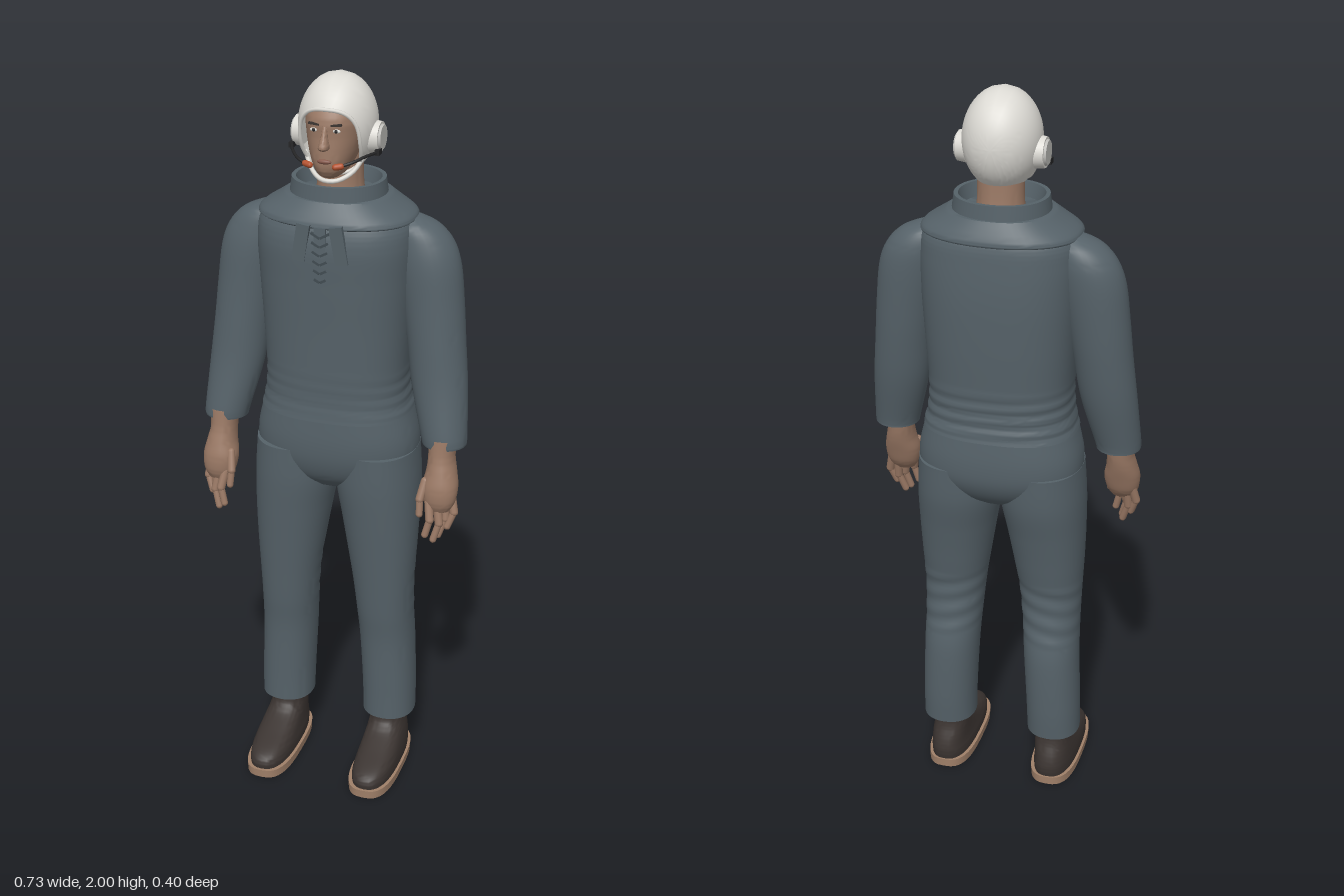
import * as THREE from 'three';
import { mergeGeometries, toCreasedNormals } from 'three/addons/utils/BufferGeometryUtils.js';

const mat = (name, color, side = THREE.FrontSide) => {
  const m = new THREE.MeshStandardMaterial({ color, side });
  m.name = name;
  return m;
};

// Smooth body from horizontal sections [y, xMin, xMax, zMin, zMax], listed from bottom to top.
function loft(sections, { n = 2, steps = 5, seg = 40, caps = true, fold = null } = {}) {
  const rows = [];
  const last = sections.length - 1;
  const cr = (a, b, c, d, t) => 0.5 * (2 * b + (c - a) * t + (2 * a - 5 * b + 4 * c - d) * t * t + (3 * b - a - 3 * c + d) * t ** 3);
  for (let i = 0; i < last; i++) {
    const [a, b, c, d] = [i - 1, i, i + 1, i + 2].map(k => sections[Math.min(last, Math.max(0, k))]);
    for (let s = 0; s < steps; s++) rows.push(b.map((_, k) => cr(a[k], b[k], c[k], d[k], s / steps)));
  }
  rows.push(sections[last]);
  const pos = [], idx = [];
  for (const [y, x0, x1, z0, z1] of rows) {
    for (let j = 0; j < seg; j++) {
      const a = (j / seg) * Math.PI * 2, c = Math.cos(a), s = Math.sin(a);
      const f = 1 + (fold ? fold(y, c, s) : 0);
      pos.push((x0 + x1) / 2 + (x1 - x0) / 2 * f * Math.sign(c) * Math.abs(c) ** (2 / n), y,
        (z0 + z1) / 2 + (z1 - z0) / 2 * f * Math.sign(s) * Math.abs(s) ** (2 / n));
    }
  }
  for (let i = 0; i < rows.length - 1; i++) {
    for (let j = 0; j < seg; j++) {
      const p = i * seg + j, q = i * seg + (j + 1) % seg;
      idx.push(p, p + seg, q, q, p + seg, q + seg);
    }
  }
  if (caps) {
    for (const r of [0, rows.length - 1]) {
      const [y, x0, x1, z0, z1] = rows[r], c = pos.length / 3;
      pos.push((x0 + x1) / 2, y, (z0 + z1) / 2);
      for (let j = 0; j < seg; j++) {
        const p = r * seg + j, q = r * seg + (j + 1) % seg;
        r === 0 ? idx.push(c, p, q) : idx.push(c, q, p);
      }
    }
  }
  return indexed(pos, idx);
}

function indexed(pos, idx) {
  const g = new THREE.BufferGeometry();
  g.setAttribute('position', new THREE.Float32BufferAttribute(pos, 3));
  g.setIndex(idx);
  return toCreasedNormals(g, 0.75);
}

const vec = p => new THREE.Vector3(...p);
const tube = (pts, r) => new THREE.TubeGeometry(new THREE.CatmullRomCurve3(pts.map(vec)), 20, r, 8);
const box = (w, h, d, p, rz = 0, rx = 0) => new THREE.BoxGeometry(w, h, d).rotateZ(rz).rotateX(rx).translate(...p);
const ball = (rx, ry, rz, p) => new THREE.SphereGeometry(1, 16, 10).scale(rx, ry, rz).translate(...p);

// Rounded rod between two points
function rod(a, b, r) {
  const A = vec(a), B = vec(b), d = B.clone().sub(A);
  const q = new THREE.Quaternion().setFromUnitVectors(new THREE.Vector3(0, 1, 0), d.clone().normalize());
  const mid = A.add(B).multiplyScalar(0.5);
  return new THREE.CapsuleGeometry(r, d.length(), 4, 10).applyQuaternion(q).translate(mid.x, mid.y, mid.z);
}

// Mirror across x = 0, turning the triangles around
function mirrored(geo) {
  const g = geo.index ? geo.toNonIndexed() : geo.clone();
  for (const k of Object.keys(g.attributes)) {
    const a = g.attributes[k].array, w = g.attributes[k].itemSize;
    for (let t = 0; t < a.length; t += 3 * w) {
      for (let c = 0; c < w; c++) [a[t + w + c], a[t + 2 * w + c]] = [a[t + 2 * w + c], a[t + w + c]];
    }
    if (w === 3) for (let i = 0; i < a.length; i += 3) a[i] *= -1;
  }
  return g;
}

// Helmet shell: swept from the edge of the face opening round to the back
const C = [0, 1.87, -0.04], R = [0.1, 0.13, 0.115];
function helmet() {
  const seg = 56, rings = 22, pos = [], idx = [], edge = [];
  for (let j = 0; j <= seg; j++) {
    const a = (j / seg) * Math.PI * 2, c = Math.cos(a), s = Math.sin(a), e = 2 / 2.6;
    const dx = 0.078 * Math.sign(c) * Math.abs(c) ** e / R[0];
    const dy = (1.84 + 0.088 * Math.sign(s) * Math.abs(s) ** e - C[1]) / R[1];
    const rad = Math.min(0.99, Math.hypot(dx, dy)), start = Math.asin(rad), ang = Math.atan2(dy, dx);
    for (let i = 0; i <= rings; i++) {
      const t = start + (Math.PI - start) * i / rings;
      const p = [Math.sin(t) * Math.cos(ang), Math.sin(t) * Math.sin(ang), Math.cos(t)].map((v, k) => C[k] + R[k] * v);
      pos.push(...p);
      if (i === 0 && j < seg) edge.push(vec(p));
      if (i < rings && j < seg) {
        const q = j * (rings + 1) + i, r = q + rings + 1;
        idx.push(q, q + 1, r, r, q + 1, r + 1);
      }
    }
  }
  const rim = new THREE.TubeGeometry(new THREE.CatmullRomCurve3(edge, true), 80, 0.005, 8, true);
  return { shell: indexed(pos, idx), rim };
}

export function createModel() {
  const model = new THREE.Group();
  const suit = mat('suit grey blue', 0x566269), fold = mat('dark suit trim', 0x414b51);
  const skin = mat('skin', 0x9a7965), sole = mat('sole tan', 0xa08069), shoe = mat('shoe brown', 0x3b3431);
  const white = mat('helmet white', 0xdcdad4, THREE.DoubleSide), black = mat('black', 0x252526);
  const orange = mat('microphone orange', 0xb4522f), lips = mat('lips', 0x84574a), grey = mat('cup grey', 0xc2c1bd);
  const add = (name, geo, m, parent = model) => {
    const mesh = new THREE.Mesh(geo, m);
    mesh.name = name;
    parent.add(mesh);
  };
  const pair = (name, geo, m) => {
    add(name + 'Left', geo, m);
    add(name + 'Right', mirrored(geo), m);
  };
  const sym = (y, x, z0, z1) => [y, -x, x, z0, z1];

  // Jacket with soft folds above the waist
  add('jacket', loft([
    sym(1.1, 0.206, -0.198, 0.1), sym(1.15, 0.194, -0.19, 0.096), sym(1.22, 0.19, -0.19, 0.098),
    sym(1.35, 0.197, -0.198, 0.102), sym(1.48, 0.205, -0.202, 0.108), sym(1.58, 0.208, -0.198, 0.111),
    sym(1.64, 0.195, -0.19, 0.098), sym(1.68, 0.14, -0.165, 0.07)
  ], { n: 2.5, steps: 10, seg: 56, fold: (y, c, s) => y > 1.11 && y < 1.24 ? 0.014 * Math.sin(y * 180 + 1.5 * c) * (0.6 - 0.4 * s) : 0 }), suit);

  // Wide collar with an open standing neck
  add('collarCape', loft([
    sym(1.63, 0.19, -0.18, 0.092), sym(1.638, 0.207, -0.194, 0.106), sym(1.652, 0.2, -0.192, 0.102),
    sym(1.675, 0.165, -0.18, 0.088), sym(1.695, 0.135, -0.168, 0.074)
  ], { n: 2.3, steps: 3, seg: 56 }), suit);
  add('standingCollar', loft([
    sym(1.68, 0.128, -0.163, 0.07), sym(1.732, 0.121, -0.158, 0.066), sym(1.732, 0.11, -0.147, 0.055), sym(1.695, 0.1, -0.137, 0.045)
  ], { n: 2.1, steps: 1, seg: 48 }), suit);

  // Neck tabs and lacing
  pair('collarTab', box(0.034, 0.1, 0.012, [0.05, 1.598, 0.108], 0.16, 0.04), suit);
  const laces = [];
  for (let i = 0; i < 6; i++) {
    for (const s of [-1, 1]) laces.push(box(0.026 - i * 0.002, 0.006, 0.007, [s * (0.012 - i * 0.0008), 1.62 - i * 0.024, 0.109], s * 0.5));
  }
  add('lacing', mergeGeometries(laces), fold);
  add('placket', box(0.03, 0.08, 0.008, [0, 1.6, 0.107], 0, -0.02), suit);

  // Sleeves
  pair('sleeve', loft([
    [1.045, 0.248, 0.366, -0.064, 0.055], [1.07, 0.242, 0.366, -0.068, 0.054], [1.2, 0.208, 0.357, -0.098, 0.036],
    [1.32, 0.19, 0.345, -0.115, 0.028], [1.42, 0.172, 0.336, -0.124, 0.023], [1.52, 0.15, 0.324, -0.13, 0.02],
    [1.58, 0.14, 0.302, -0.128, 0.012], [1.62, 0.14, 0.265, -0.115, 0], [1.643, 0.15, 0.215, -0.09, -0.025]
  ], { seg: 32 }), suit);

  // Hips and trouser legs, creased behind the knee
  add('hips', loft([
    sym(0.885, 0.09, -0.12, 0.035), sym(0.92, 0.17, -0.165, 0.07), sym(0.97, 0.215, -0.192, 0.09),
    sym(1.03, 0.22, -0.198, 0.097), sym(1.105, 0.203, -0.192, 0.095)
  ], { n: 2.4, seg: 56 }), suit);
  pair('trouserLeg', loft([
    [0.155, 0.08, 0.227, -0.131, 0.026], [0.25, 0.077, 0.226, -0.138, 0.028], [0.4, 0.069, 0.221, -0.14, 0.034],
    [0.5, 0.062, 0.219, -0.128, 0.046], [0.6, 0.052, 0.221, -0.123, 0.056], [0.7, 0.036, 0.226, -0.138, 0.066],
    [0.8, 0.019, 0.229, -0.157, 0.076], [0.9, 0.002, 0.229, -0.178, 0.085], [1.0, 0.004, 0.222, -0.185, 0.088]
  ], { n: 2.2, steps: 9, fold: (y, c, s) => y > 0.46 && y < 0.64 ? 0.02 * Math.sin(y * 110 + 2 * c) * Math.max(0, 0.3 - s) : 0 }), suit);

  // Shoes
  pair('shoeSole', loft([[0, 0.087, 0.219, -0.134, 0.2], [0.024, 0.086, 0.22, -0.135, 0.201]], { n: 2.9, steps: 1 }), sole);
  pair('shoeUpper', loft([
    [0.022, 0.094, 0.213, -0.13, 0.193], [0.045, 0.094, 0.213, -0.134, 0.193], [0.065, 0.097, 0.211, -0.132, 0.165],
    [0.09, 0.1, 0.206, -0.124, 0.09], [0.115, 0.102, 0.2, -0.113, 0.03], [0.14, 0.104, 0.196, -0.107, 0.01],
    [0.18, 0.104, 0.196, -0.107, 0.006]
  ], { n: 2.6 }), shoe);

  // Hands
  pair('palm', loft([
    [0.875, 0.282, 0.34, 0.03, 0.075], [0.9, 0.268, 0.354, 0.01, 0.085], [0.94, 0.262, 0.358, -0.005, 0.085],
    [0.98, 0.27, 0.35, -0.018, 0.074], [1.02, 0.272, 0.342, -0.026, 0.062], [1.07, 0.268, 0.346, -0.03, 0.055]
  ], { n: 2.2, seg: 24 }), skin);
  const fingers = [
    [[0.34, 0.91, 0.03], [0.35, 0.865, 0.04], [0.335, 0.825, 0.05]],
    [[0.325, 0.9, 0.035], [0.328, 0.845, 0.045], [0.312, 0.798, 0.055]],
    [[0.308, 0.9, 0.06], [0.318, 0.842, 0.072], [0.305, 0.796, 0.08]],
    [[0.288, 0.9, 0.07], [0.296, 0.855, 0.085], [0.285, 0.812, 0.09]],
    [[0.274, 0.955, 0.06], [0.266, 0.91, 0.08], [0.268, 0.87, 0.088]]
  ];
  pair('fingers', mergeGeometries(fingers.flatMap(([a, b, c]) => [rod(a, b, 0.0115), rod(b, c, 0.0095)])), skin);

  // Neck, head and face
  add('neck', loft([sym(1.66, 0.068, -0.125, 0.008), sym(1.72, 0.06, -0.115, 0), sym(1.8, 0.06, -0.11, 0)]), skin);
  add('head', loft([
    sym(1.75, 0.02, -0.03, 0.045), sym(1.762, 0.036, -0.06, 0.064), sym(1.785, 0.05, -0.09, 0.073), sym(1.82, 0.063, -0.11, 0.072),
    sym(1.86, 0.071, -0.12, 0.069), sym(1.9, 0.073, -0.12, 0.068), sym(1.94, 0.062, -0.1, 0.045)
  ], { n: 2.2 }), skin);
  add('nose', loft([
    sym(1.828, 0.006, 0.06, 0.082), sym(1.836, 0.014, 0.055, 0.096), sym(1.86, 0.009, 0.055, 0.085), sym(1.888, 0.007, 0.05, 0.072)
  ], { seg: 16 }), skin);
  pair('eye', ball(0.011, 0.005, 0.004, [0.029, 1.877, 0.064]), white);
  pair('pupil', ball(0.0045, 0.0045, 0.003, [0.029, 1.877, 0.0665]), black);
  pair('eyebrow', box(0.028, 0.005, 0.007, [0.029, 1.892, 0.065], 0.1), shoe);
  add('mouth', ball(0.019, 0.006, 0.006, [0, 1.8, 0.073]), lips);

  // Helmet, ear cups, chin strap and twin microphones
  const { shell, rim } = helmet();
  add('helmetShell', shell, white);
  add('helmetRim', rim, white);
  const cup = (r, h, x) => new THREE.CylinderGeometry(r * 0.92, r, h, 32).rotateZ(-Math.PI / 2).translate(x, 1.842, -0.042);
  pair('earCup', cup(0.042, 0.024, 0.1), white);
  pair('earCupCap', cup(0.033, 0.006, 0.115), grey);
  add('chinStrap', tube([[-0.078, 1.8, -0.01], [-0.055, 1.762, 0.012], [-0.025, 1.744, 0.035], [0, 1.741, 0.042],
    [0.025, 1.744, 0.035], [0.055, 1.762, 0.012], [0.078, 1.8, -0.01]], 0.006), white);
  pair('boomMount', box(0.012, 0.014, 0.026, [0.113, 1.812, -0.012]), black);
  pair('microphoneBoom', tube([[0.113, 1.812, -0.01], [0.096, 1.812, 0.035], [0.07, 1.803, 0.07], [0.045, 1.795, 0.083]], 0.004), black);
  pair('microphone', rod([0.047, 1.795, 0.081], [0.033, 1.793, 0.086], 0.008), orange);
  return model;
}
